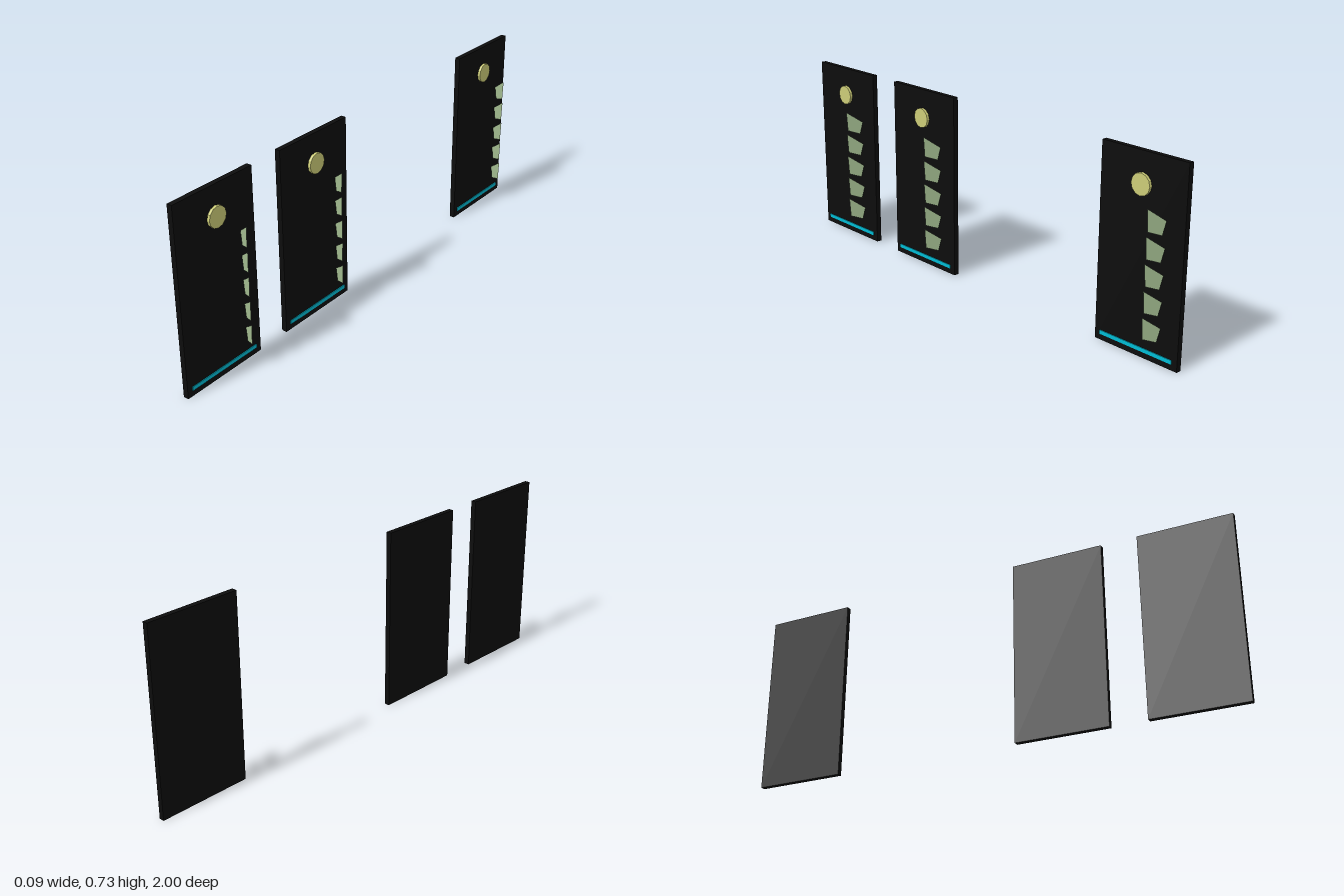
import * as THREE from 'three';

const mat = (name, color, extra = {}) => {
  const m = new THREE.MeshStandardMaterial({ color, ...extra });
  m.name = name;
  return m;
};

export function createModel() {
  const black = mat('matte black', 0x0d0d0d);
  const cyan = mat('cyan', 0x00bcd4);
  const yellow = mat('pale yellow', 0xcccc77, { flatShading: true });
  const green = mat('sage green', 0xa3bc90, { side: THREE.DoubleSide });

  const add = (parent, name, geometry, material, x, y, z) => {
    const mesh = new THREE.Mesh(geometry, material);
    mesh.name = name;
    mesh.position.set(x, y, z);
    parent.add(mesh);
  };

  const slabGeo = new THREE.BoxGeometry(0.021, 0.733, 0.366);
  const stripGeo = new THREE.BoxGeometry(0.004, 0.015, 0.32);
  const discGeo = new THREE.CylinderGeometry(0.04, 0.04, 0.011, 12).rotateZ(-Math.PI / 2);

  // Four-sided leaf, drawn in x/y and then slanted so z grows with x
  const leafGeo = new THREE.ShapeGeometry(new THREE.Shape([
    new THREE.Vector2(-0.018, 0.137),
    new THREE.Vector2(-0.007, 0.087),
    new THREE.Vector2(0.038, 0.104),
    new THREE.Vector2(0.042, 0.184),
  ]));
  const p = leafGeo.attributes.position;
  for (let i = 0; i < p.count; i++) p.setZ(i, -0.109 + 0.55 * (p.getX(i) + 0.018));
  leafGeo.computeVertexNormals();

  // Three identical panels along z
  const model = new THREE.Group();
  model.name = 'panels';
  for (const z of [0.817, 0.309, -0.817]) {
    const panel = new THREE.Group();
    panel.name = 'panel';
    panel.position.z = z;
    add(panel, 'slab', slabGeo, black, -0.0325, 0.3665, 0);
    add(panel, 'baseStrip', stripGeo, cyan, -0.021, 0.03, 0);
    add(panel, 'disc', discGeo, yellow, -0.0135, 0.62, 0);
    for (let i = 0; i < 5; i++) add(panel, 'leaf', leafGeo, green, 0, i * 0.0957, 0);
    model.add(panel);
  }
  return model;
}
